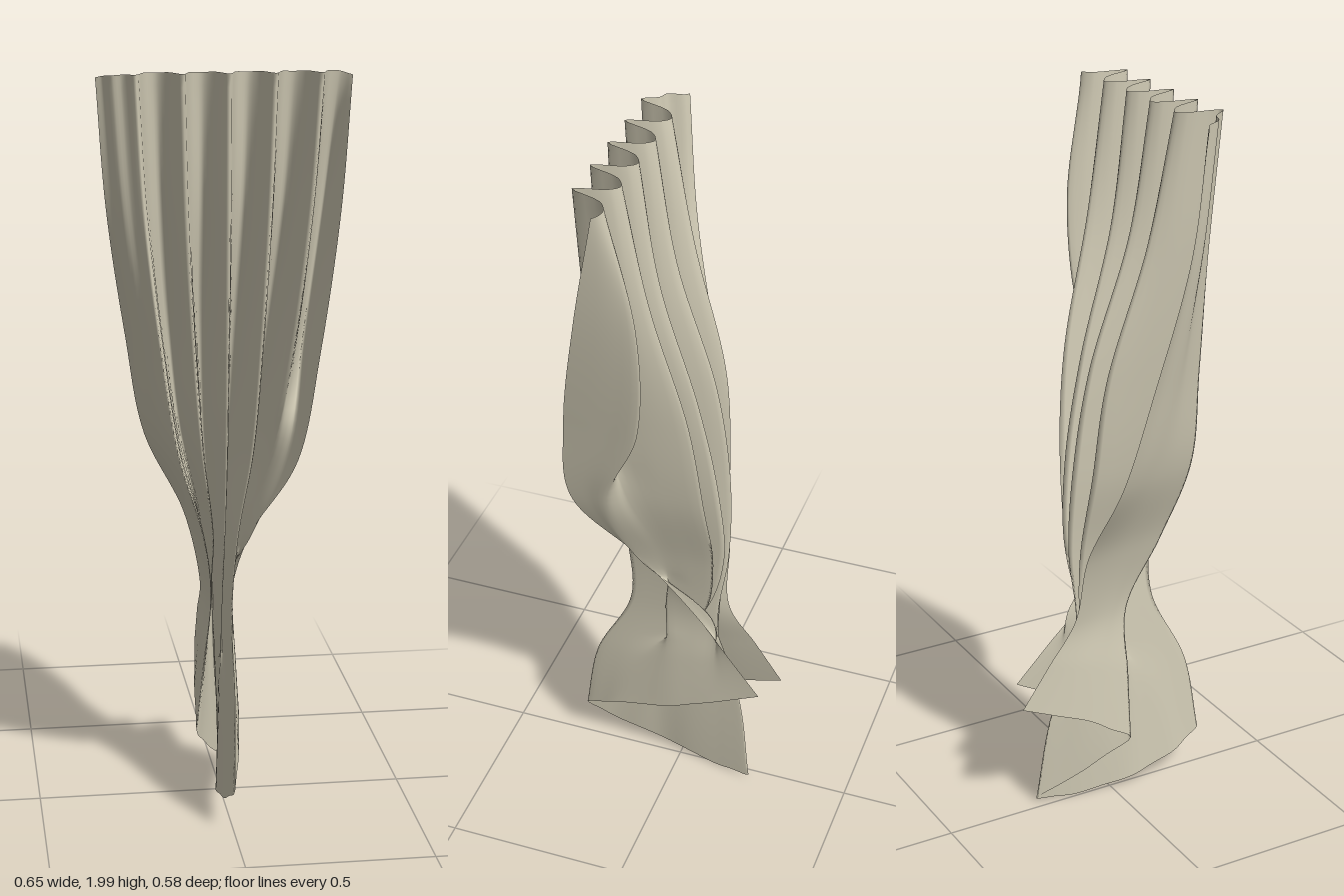
import * as THREE from 'three';

const V = (x, y, z) => new THREE.Vector3(x, y, z);
const { lerp, clamp } = THREE.MathUtils;

// Heights of the cloth: y, half width, ridge z, valley z, blend to the tail folds,
// then x and z of the right (-x) and left (+x) free edges
const ROWS = [
  [2.0, 0.325, 0.187, 0.085, 0, -0.327, 0.09, 0.325, 0.105],
  [1.65, 0.295, 0.172, 0.025, 0, -0.302, 0.06, 0.287, 0.175],
  [1.3, 0.24, 0.165, -0.075, 0, -0.25, -0.01, 0.228, 0.235],
  [1.02, 0.18, 0.16, -0.115, 0, -0.197, -0.07, 0.172, 0.243],
  [0.78, 0.082, 0.145, -0.14, 0.25, -0.085, -0.115, 0.072, 0.09],
  [0.58, 0.04, 0.12, -0.145, 0.8, -0.04, -0.13, 0.045, -0.07],
];

// The last two creases by the left edge swing forward with it
const SWING = { 11: [0.085, 0.02, 0.04, 0.15, 0.1], 10: [0.187, 0.172, 0.15, 0.1, 0.02] };

// Folded hem of the loose tail, from the right edge to the left edge
const HEM = new THREE.CatmullRomCurve3([
  V(-0.035, 0.35, -0.29), V(-0.068, 0.19, 0.03), V(0.03, 0.015, -0.22),
  V(-0.02, 0.03, 0.06), V(0, 0.12, 0.29), V(0.05, 0.23, 0.02), V(0.07, 0.37, -0.255),
]);

const LAST = 12; // crease lines: even ones are ridges, odd ones are valleys

// One crease line running from the heading down to the hem
function crease(j) {
  const hem = HEM.getPoint(j / LAST);
  const edge = j === 0 || j === LAST;
  const valley = j % 2 === 1;
  const points = ROWS.map(([y, half, front, back, blend, xR, zR, xL, zL], r) => {
    if (edge) return V(j ? xL : xR, y - (r ? 0 : 0.015), j ? zL : zR);
    const depth = r === 0 ? 1 : 1 + 0.12 * Math.sin(j * 2.3 + r);
    const mid = (front + back) / 2;
    let z = mid + (valley ? -1 : 1) * (front - mid) * depth;
    if (j === 1) z = (zR + front) / 2;
    z = SWING[j]?.[r] ?? lerp(z, hem.z * 0.52, blend * (valley ? 0.4 : 1));
    return V((j - LAST / 2) * 0.18 * half, y - (valley && r === 0 ? 0.006 : 0), z);
  });
  // the tail spreads quickly below the waist
  const waist = points[points.length - 1];
  const flare = waist.clone().lerp(hem, 0.5);
  if (!edge) flare.z = lerp(waist.z, hem.z, 0.72);
  points.push(flare, hem);
  return new THREE.CatmullRomCurve3(points);
}

// Cross-section at height t: broad valleys and narrow ridges near the heading
function section(creases, t) {
  const points = creases.map(c => c.getPoint(t));
  const broad = 0.3 * clamp(1 - t * 2.5, 0, 1);
  const row = [points[0]];
  for (let j = 1; j <= LAST; j++) {
    const middle = points[j - 1].clone().lerp(points[j], 0.5);
    middle.z -= broad * Math.abs(points[j].z - points[j - 1].z);
    row.push(middle, points[j]);
  }
  return new THREE.CatmullRomCurve3(row);
}

// Skin the crease lines with a smooth cloth sheet
function clothGeometry(across, down) {
  const creases = Array.from({ length: LAST + 1 }, (_, j) => crease(j));
  const position = [], index = [];
  for (let i = 0; i <= down; i++) {
    const row = section(creases, i / down);
    for (let k = 0; k <= across; k++) {
      const p = row.getPoint(k / across);
      position.push(p.x, clamp(p.y, 0, 2), p.z);
      if (i < down && k < across) {
        const a = i * (across + 1) + k, b = a + across + 1;
        index.push(a, b, a + 1, b, b + 1, a + 1);
      }
    }
  }
  const geometry = new THREE.BufferGeometry();
  geometry.setAttribute('position', new THREE.Float32BufferAttribute(position, 3));
  geometry.setIndex(index);
  geometry.computeVertexNormals();
  return geometry;
}

export function createModel() {
  const linen = new THREE.MeshStandardMaterial({ color: 0xd2ccb6, side: THREE.DoubleSide });
  linen.name = 'linen';

  const curtain = new THREE.Mesh(clothGeometry(LAST * 8, 72), linen);
  curtain.name = 'gatheredCurtain';

  const group = new THREE.Group();
  group.name = 'curtain';
  group.add(curtain);
  return group;
}
